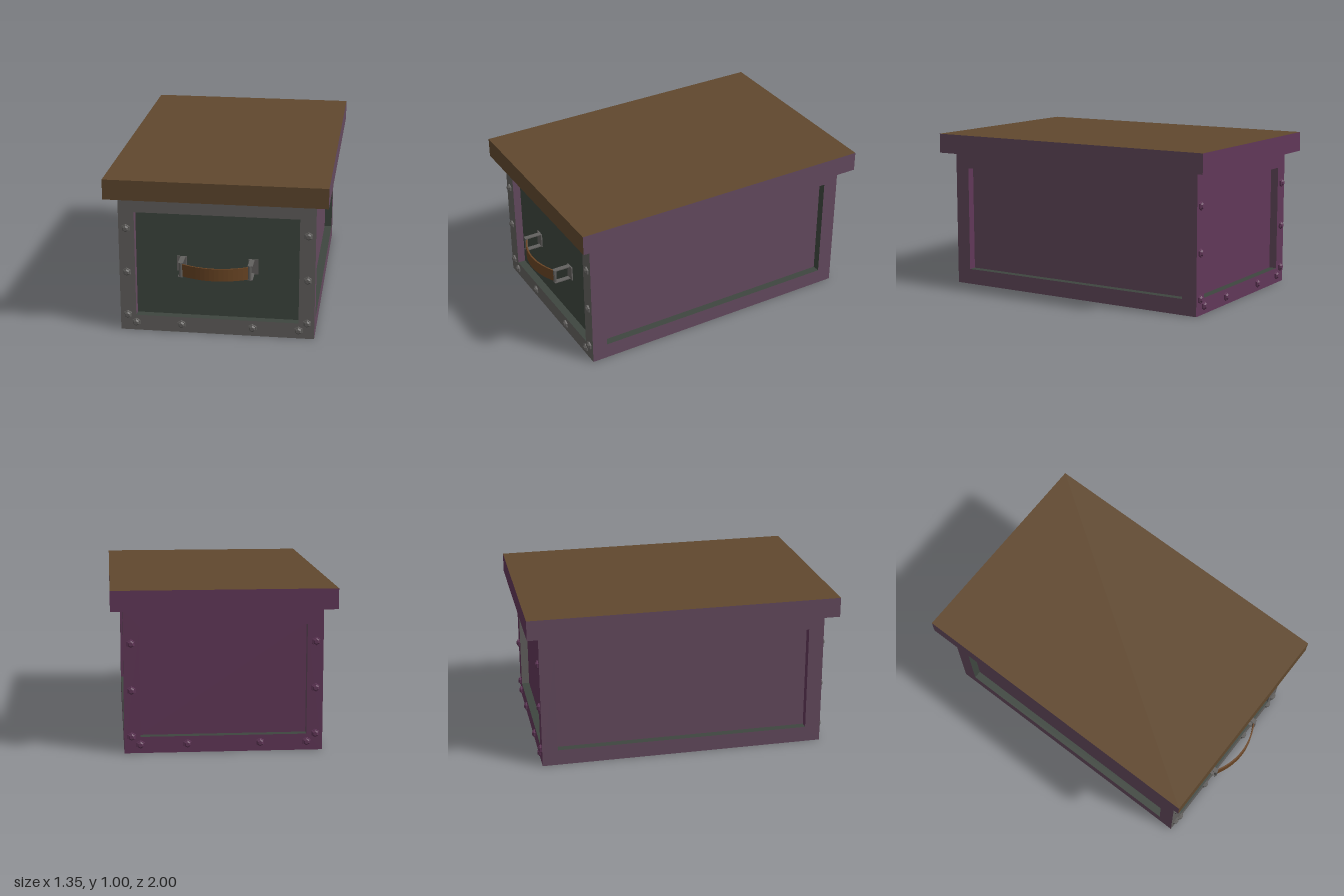
import * as THREE from 'three';

const mat = (name, color) => {
  const m = new THREE.MeshStandardMaterial({ color, side: THREE.DoubleSide, flatShading: true });
  m.name = name;
  return m;
};

export function createModel() {
  const grey = mat('grey metal', 0x62605e);
  const green = mat('dark green', 0x3e463f);
  const brown = mat('brown wood', 0x60482e);
  const leather = mat('brown leather', 0x6a4524);
  const mauve = mat('grey purple', 0x644a5e);
  const purple = mat('purple', 0x613758);

  const model = new THREE.Group();
  model.name = 'crate';

  const add = (parent, name, geo, material, x = 0, y = 0, z = 0, rx = 0, ry = 0) => {
    const mesh = new THREE.Mesh(geo, material);
    mesh.name = name;
    mesh.position.set(x, y, z);
    mesh.rotation.set(rx, ry, 0);
    parent.add(mesh);
    return mesh;
  };
  const plane = (w, h) => new THREE.PlaneGeometry(w, h);

  // Flat rectangle from (x0,y0) to (x1,y1) with a rectangular opening
  const rect = (P, x0, y0, x1, y1) => new P([
    new THREE.Vector2(x0, y0), new THREE.Vector2(x1, y0),
    new THREE.Vector2(x1, y1), new THREE.Vector2(x0, y1)]);
  const ring = (outer, inner) => {
    const shape = rect(THREE.Shape, ...outer);
    shape.holes.push(rect(THREE.Path, ...inner));
    return new THREE.ShapeGeometry(shape);
  };

  const H = 0.875, Y0 = 0.1, Y1 = 0.775, DEPTH = 0.05;
  const HALF = Math.PI / 2;

  // One thin wall: frame, sunk panel and the four edges of the recess
  const wall = (name, width, margin, [x, z, turn], frameMat, panelMat, leftMat, rightMat) => {
    const g = new THREE.Group();
    g.name = name;
    g.position.set(x, 0, z);
    g.rotation.y = turn;
    model.add(g);
    const w = width / 2, h = w - margin, ym = (Y0 + Y1) / 2;
    add(g, 'frame', ring([-w, 0, w, H], [-h, Y0, h, Y1]), frameMat);
    add(g, 'panel', plane(2 * h, Y1 - Y0), panelMat, 0, ym, -DEPTH);
    add(g, 'recessLeft', plane(DEPTH, Y1 - Y0), leftMat, -h, ym, -DEPTH / 2, 0, HALF);
    add(g, 'recessRight', plane(DEPTH, Y1 - Y0), rightMat, h, ym, -DEPTH / 2, 0, -HALF);
    add(g, 'recessBottom', plane(2 * h, DEPTH), green, 0, Y0, -DEPTH / 2, -HALF);
    add(g, 'recessTop', plane(2 * h, DEPTH), purple, 0, Y1, -DEPTH / 2, HALF);
    return g;
  };

  const front = wall('frontWall', 1.2, 0.097, [0, 0.885, 0], grey, green, mauve, grey);
  const back = wall('backWall', 1.2, 0.097, [0, -0.925, Math.PI], purple, purple, grey, mauve);
  wall('leftWall', 1.81, 0.098, [0.6, -0.02, HALF], mauve, mauve, purple, green);
  wall('rightWall', 1.81, 0.098, [-0.6, -0.02, -HALF], mauve, mauve, green, purple);

  // Hexagonal bolts on the front and back frames
  const base = new THREE.CylinderGeometry(0.026, 0.028, 0.01, 6);
  const head = new THREE.CylinderGeometry(0.013, 0.022, 0.009, 6);
  const end = new THREE.CircleGeometry(0.02, 6);
  const spots = [[0.555, 0.67], [0.555, 0.385], [0.555, 0.102], [0.503, 0.052], [0.22, 0.052]];
  for (const [parent, material] of [[front, grey], [back, purple]]) {
    for (const [bx, by] of spots) {
      for (const s of [-1, 1]) {
        add(parent, 'boltBase', base, material, s * bx, by, 0.005, HALF);
        add(parent, 'boltHead', head, material, s * bx, by, 0.0145, HALF);
        add(parent, 'boltEnd', end, brown, s * bx, by, -0.003, 0, Math.PI);
      }
    }
  }

  // Lid: hollow slab with an overhanging rim
  const lid = new THREE.Group();
  lid.name = 'lid';
  model.add(lid);
  const LW = 1.35, LD = 1.96, LH = 1 - H, ly = (1 + H) / 2, lz = -0.02;
  add(lid, 'lidTop', plane(LW, LD), brown, 0, 1, lz, -HALF);
  add(lid, 'lidFront', plane(LW, LH), brown, 0, ly, lz + LD / 2);
  add(lid, 'lidBack', plane(LW, LH), purple, 0, ly, lz - LD / 2, 0, Math.PI);
  for (const s of [-1, 1]) {
    add(lid, 'lidSide', plane(LD, LH), mauve, s * LW / 2, ly, lz, 0, s * HALF);
  }
  add(lid, 'lidRim', ring([-LW / 2, -LD / 2, LW / 2, LD / 2], [-0.6, -0.905, 0.6, 0.905]),
    purple, 0, H, lz, HALF);

  // Handle: bowed strap held by two brackets
  const handle = new THREE.Group();
  handle.name = 'handle';
  model.add(handle);
  const N = 14, outer = [], inner = [];
  for (let i = 0; i <= N; i++) {
    const t = -1 + 2 * i / N;
    const z = 0.947 + 0.053 * (1 - t * t);
    outer.push(new THREE.Vector2(t * 0.2, z));
    inner.unshift(new THREE.Vector2(t * 0.2, z - 0.01));
  }
  const strap = new THREE.ExtrudeGeometry(new THREE.Shape([...outer, ...inner]),
    { depth: 0.078, bevelEnabled: false });
  strap.rotateX(HALF);
  add(handle, 'strap', strap, leather, 0, 0.477, 0);

  const pin = new THREE.CylinderGeometry(0.011, 0.011, 0.09, 8);
  for (const s of [-1, 1]) {
    const x = s * 0.22;
    add(handle, 'bracketPlate', new THREE.BoxGeometry(0.06, 0.094, 0.008), grey, x, 0.44, 0.839);
    for (const y of [0.396, 0.484]) {
      add(handle, 'bracketArm', new THREE.BoxGeometry(0.03, 0.006, 0.11), grey, s * 0.212, y, 0.893);
    }
    add(handle, 'bracketPin', pin, grey, s * 0.21, 0.44, 0.94);
    add(handle, 'bracketEnd', plane(0.05, 0.08), brown, x, 0.44, 0.832, 0, Math.PI);
  }
  return model;
}
